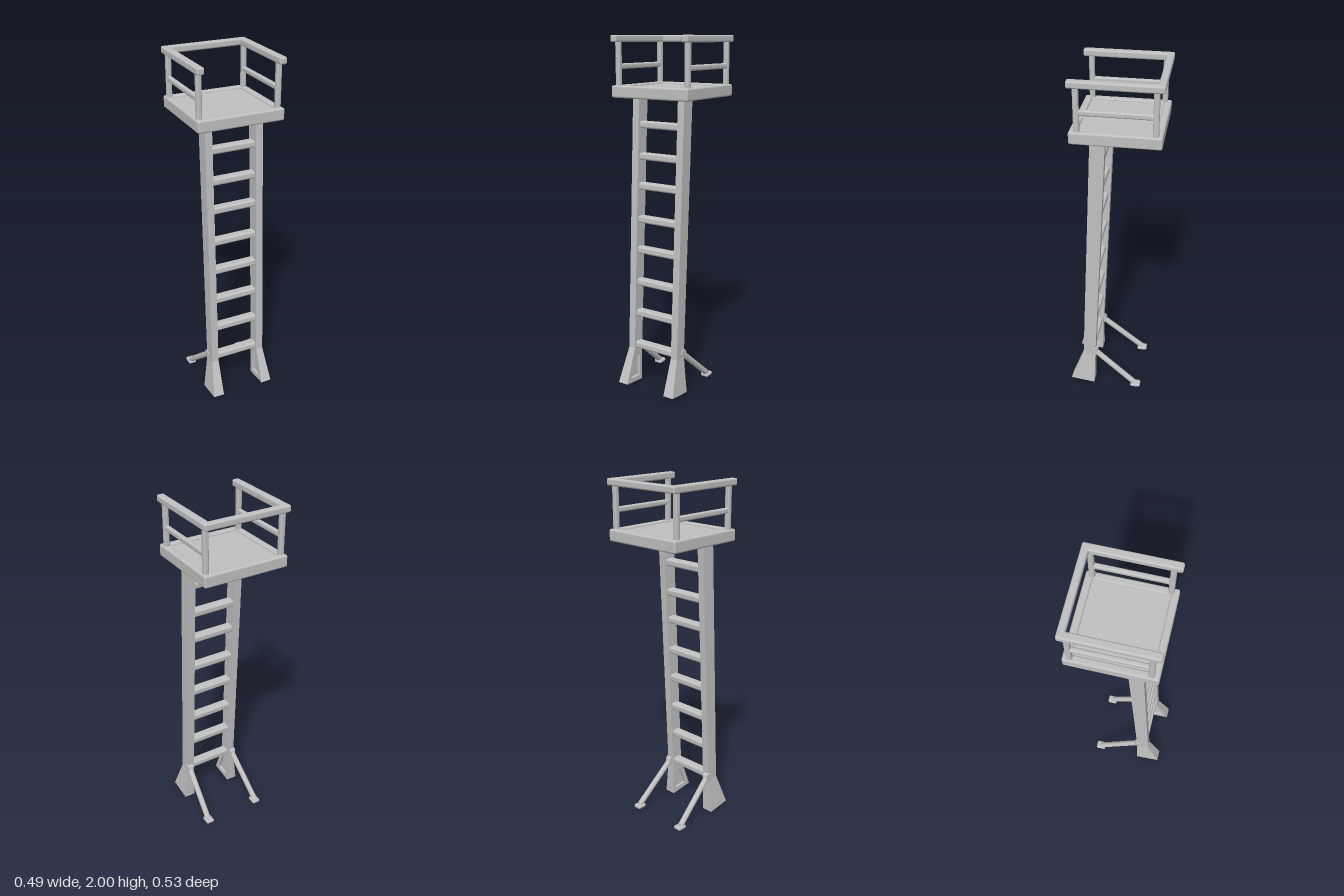
import * as THREE from 'three';
import { RoundedBoxGeometry } from 'three/addons/geometries/RoundedBoxGeometry.js';

export function createModel() {
  const model = new THREE.Group();
  const metal = new THREE.MeshStandardMaterial({ color: 0xc0c0c0 });
  metal.name = 'light grey';

  const add = (name, geometry, x = 0, y = 0, z = 0) => {
    const mesh = new THREE.Mesh(geometry, metal);
    mesh.name = name;
    mesh.position.set(x, y, z);
    model.add(mesh);
    return mesh;
  };
  const bar = (name, w, h, d, x, y, z, r = 0.01) =>
    add(name, new RoundedBoxGeometry(w, h, d, 3, r), x, y, z);

  // Side profile given as [z, y] points, extruded across x from x0 to x1
  const slab = (points, x0, x1, hole) => {
    const toVectors = (list) => list.map(([z, y]) => new THREE.Vector2(z, y));
    const shape = new THREE.Shape(toVectors(points));
    if (hole) shape.holes.push(new THREE.Path(toVectors(hole)));
    const geometry = new THREE.ExtrudeGeometry(shape, {
      depth: Math.abs(x1 - x0), bevelEnabled: false,
    });
    geometry.rotateY(-Math.PI / 2);
    geometry.translate(Math.max(x0, x1), 0, 0);
    return geometry;
  };

  // Platform: floor inside a slightly raised rim
  add('platformFloor', new THREE.BoxGeometry(0.45, 0.042, 0.43), 0, 1.703, -0.02);
  bar('platformRimFront', 0.488, 0.066, 0.04, 0, 1.702, 0.195);
  bar('platformRimBack', 0.488, 0.066, 0.04, 0, 1.702, -0.236);
  for (const s of [-1, 1]) {
    bar('platformRimSide', 0.04, 0.066, 0.47, s * 0.224, 1.702, -0.02);
  }

  // Guard rail, open at the front
  bar('topRailBack', 0.492, 0.038, 0.038, 0, 1.981, -0.243);
  for (const s of [-1, 1]) {
    bar('topRailSide', 0.042, 0.038, 0.48, s * 0.225, 1.981, -0.022);
    bar('middleRail', 0.026, 0.03, 0.39, s * 0.221, 1.835, -0.022);
    for (const z of [0.174, -0.221]) {
      bar('railPost', 0.03, 0.27, 0.03, s * 0.221, 1.845, z);
    }
  }

  // Leaning uprights and flared feet with a triangular recess inside
  const upright = [[0.115, 0.22], [0.188, 0.22], [0.12, 1.69], [0.04, 1.69]];
  const foot = [[0.12, 0.003], [0.264, 0.02], [0.188, 0.22], [0.115, 0.22]];
  const recess = [[0.14, 0.035], [0.14, 0.165], [0.178, 0.165], [0.227, 0.043]];
  for (const s of [-1, 1]) {
    add('upright', slab(upright, s * 0.126, s * 0.167));
    add('footInner', slab(foot, s * 0.126, s * 0.143, recess));
    const outer = slab(foot, s * 0.143, s * 0.167);
    const p = outer.attributes.position;
    for (let i = 0; i < p.count; i++) {
      if (Math.abs(p.getX(i)) > 0.155) {
        p.setX(i, p.getX(i) + s * 0.11 * (0.22 - p.getY(i)));
      }
    }
    outer.computeVertexNormals();
    add('footOuter', outer);
  }

  // Rungs follow the lean of the uprights
  for (const y of [0.24, 0.435, 0.62, 0.81, 0.988, 1.178, 1.345, 1.52]) {
    const z = 0.15 - (y - 0.22) * 0.0483;
    const rung = bar('rung', 0.27, 0.04, 0.055, 0, y, z, 0.012);
    rung.rotation.x = -0.048;
  }

  // Rear braces with a knuckle at the top and a pad on the ground
  for (const s of [-1, 1]) {
    const top = new THREE.Vector3(s * 0.155, 0.24, 0.122);
    const end = new THREE.Vector3(s * 0.172, 0.02, -0.13);
    const brace = add('rearBrace', new THREE.CylinderGeometry(0.017, 0.017, top.distanceTo(end), 16));
    brace.position.copy(top).add(end).multiplyScalar(0.5);
    brace.quaternion.setFromUnitVectors(
      new THREE.Vector3(0, 1, 0), top.clone().sub(end).normalize());
    const knuckle = add('braceKnuckle', new THREE.CylinderGeometry(0.024, 0.024, 0.036, 16), top.x, top.y, top.z);
    knuckle.rotation.z = Math.PI / 2;
    bar('bracePad', 0.05, 0.022, 0.06, s * 0.17, 0.011, -0.135);
  }

  return model;
}
